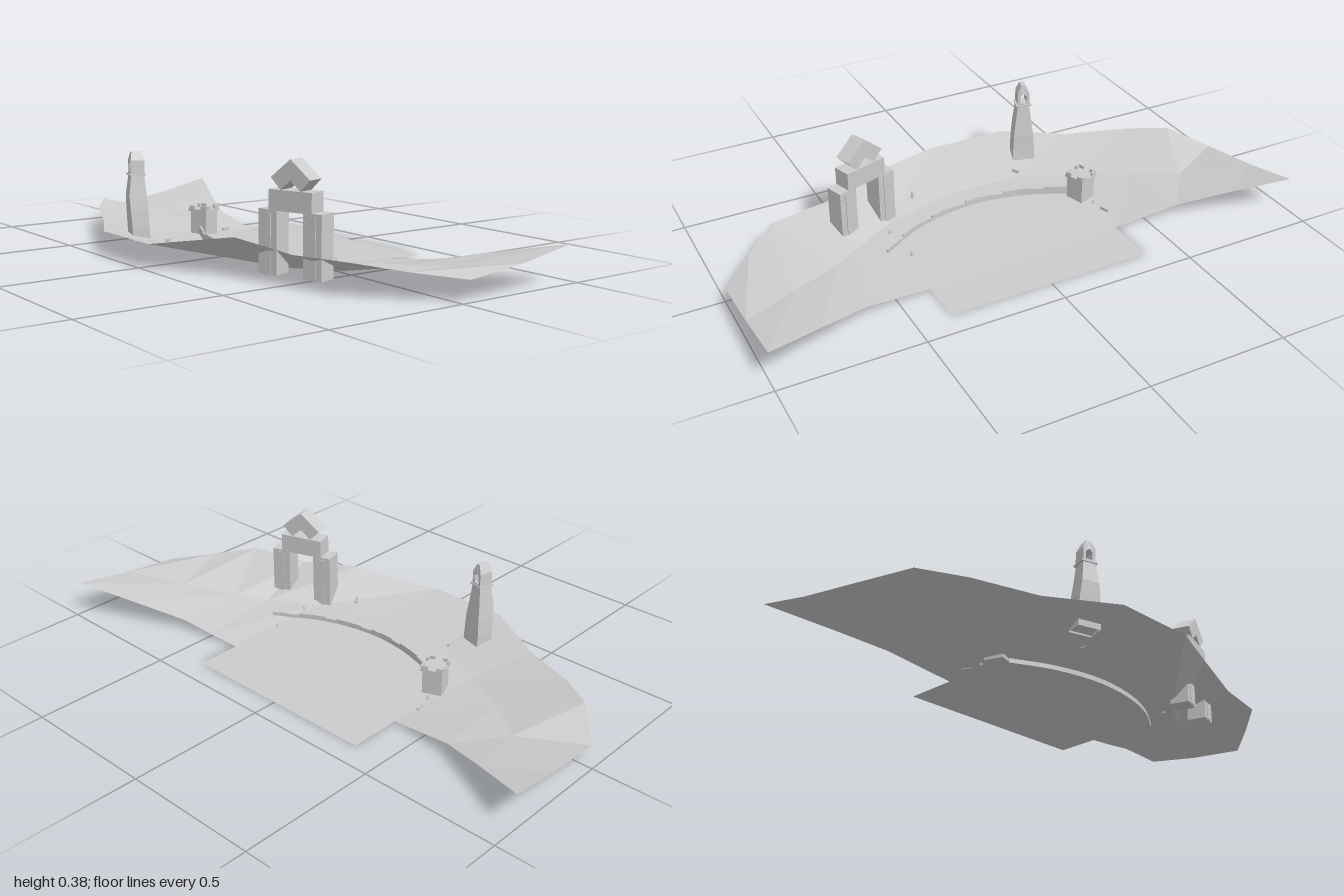
import * as THREE from 'three';

const mat = new THREE.MeshStandardMaterial({ color: 0xcccccc, flatShading: true, side: THREE.DoubleSide });

function add(parent, geo, name, x = 0, y = 0, z = 0) {
  const m = new THREE.Mesh(geo, mat);
  m.name = name;
  m.position.set(x, y, z);
  parent.add(m);
  return m;
}
const box = (parent, name, w, h, d, x, y, z) => add(parent, new THREE.BoxGeometry(w, h, d), name, x, y, z);

function subgroup(parent, name, x, y, z, ry) {
  const g = new THREE.Group();
  g.name = name;
  g.position.set(x, y, z);
  g.rotation.y = ry;
  parent.add(g);
  return g;
}

// Skin a list of equally long point rows; closed joins the last column to the first
function loft(rows, closed = false) {
  const n = rows[0].length, idx = [];
  for (let r = 0; r < rows.length - 1; r++)
    for (let c = 0; c < (closed ? n : n - 1); c++) {
      const a = r * n + c, b = r * n + (c + 1) % n;
      idx.push(a, b, a + n, b, b + n, a + n);
    }
  const geo = new THREE.BufferGeometry();
  geo.setAttribute('position', new THREE.Float32BufferAttribute(rows.flat(2), 3));
  geo.setIndex(idx);
  geo.computeVertexNormals();
  return geo;
}

// Extrude a [u, y] outline along x, centred, with u running along z
function extrudeX(outline, width, hole) {
  const toPts = l => l.map(p => new THREE.Vector2(...p));
  const shape = new THREE.Shape(toPts(outline));
  if (hole) shape.holes.push(new THREE.Path(toPts(hole)));
  return new THREE.ExtrudeGeometry(shape, { depth: width, bevelEnabled: false })
    .translate(0, 0, -width / 2).rotateY(-Math.PI / 2);
}

function terrain(root) {
  // Cross-sections from front to back: outer rim, foot of the slope, inner edge
  const rows = [
    [[0.03, 0.07, 1], [0.25, 0.093, 1], [0.475, 0.13, 1]],
    [[-0.1, 0.088, 0.88], [0.13, 0.065, 0.8], [0.38, 0.085, 0.8]],
    [[-0.22, 0.11, 0.76], [0.03, 0.04, 0.62], [0.29, 0.04, 0.61]],
    [[-0.27, 0.105, 0.54], [-0.05, 0.025, 0.52], [0.27, 0.02, 0.49]],
    [[-0.335, 0.135, 0.32], [-0.15, 0.02, 0.36], [0.255, 0.006, 0.375]],
    [[-0.48, 0.085, 0.03], [-0.23, 0.025, 0.08], [0.25, 0.005, 0.1]],
    [[-0.48, 0.085, -0.275], [-0.23, 0.025, -0.2], [0.24, 0.005, -0.15]],
    [[-0.35, 0.075, -0.51], [-0.14, 0.025, -0.42], [0.225, 0.006, -0.375]],
    [[-0.26, 0.09, -0.72], [-0.03, 0.04, -0.6], [0.25, 0.045, -0.62]],
    [[-0.165, 0.105, -0.855], [0.08, 0.05, -0.75], [0.32, 0.085, -0.8]],
    [[-0.04, 0.055, -0.97], [0.2, 0.09, -0.985], [0.405, 0.13, -1]],
  ];
  add(root, loft(rows), 'bayTerrain');

  const water = new THREE.Shape([[0.41, -0.375], [0.41, 0.375], [0.02, 0.375], [-0.06, 0.25],
    [-0.1, 0.08], [-0.1, -0.1], [-0.06, -0.25], [0, -0.375]].map(p => new THREE.Vector2(p[0], -p[1])));
  add(root, new THREE.ShapeGeometry(water).rotateX(-Math.PI / 2), 'waterPlane', 0, 0.002, 0);
}

function archGate(root) {
  const g = subgroup(root, 'archGate', -0.178, 0, 0.436, 0.31);
  for (const s of [-1, 1]) {
    box(g, 'archLeg', 0.068, 0.212, 0.07, 0, 0.116, s * 0.086);
    box(g, 'legPilaster', 0.074, 0.2, 0.026, 0, 0.112, s * 0.086);
  }
  box(g, 'archBeam', 0.066, 0.068, 0.165, 0, 0.253, 0);
  // Chevron crown resting on the beam
  const chevron = [[0.038, 0.287], [0.075, 0.325], [0, 0.387], [-0.075, 0.325], [-0.038, 0.287], [0, 0.32]];
  add(g, extrudeX(chevron, 0.063), 'chevronCrown');
}

function lighthouse(root) {
  const g = subgroup(root, 'lighthouse', -0.333, 0, -0.292, -0.3);
  // Swelling square shaft: [y, half width, half depth, lean]
  const rings = [[0.04, 0.031, 0.041, 0.006], [0.09, 0.031, 0.041, 0.003], [0.15, 0.032, 0.037, 0],
    [0.2, 0.031, 0.031, -0.004], [0.24, 0.027, 0.026, -0.003], [0.275, 0.024, 0.022, -0.002]];
  add(g, loft(rings.map(([y, w, d, l]) =>
    [[l - w, y, d], [l + w, y, d], [l + w, y, -d], [l - w, y, -d]]), true), 'shaft');
  box(g, 'balcony', 0.058, 0.006, 0.058, -0.002, 0.274, 0);
  // Lantern room with an opening right through it, ends pulled in towards the ridge
  const geo = extrudeX(
    [[-0.023, 0.277], [0.023, 0.277], [0.022, 0.325], [0.008, 0.354], [-0.008, 0.354], [-0.022, 0.325]], 0.05,
    [[-0.012, 0.283], [-0.012, 0.311], [0, 0.322], [0.012, 0.311], [0.012, 0.283]]);
  const p = geo.attributes.position;
  for (let i = 0; i < p.count; i++) if (p.getY(i) > 0.34) p.setX(i, p.getX(i) * 0.75);
  geo.computeVertexNormals();
  add(g, geo, 'lanternRoom', -0.002, 0, 0);
}

function keep(root) {
  const g = subgroup(root, 'castleTower', -0.005, 0, -0.36, 0.35);
  box(g, 'towerBody', 0.07, 0.098, 0.07, 0, 0.057, 0);
  box(g, 'towerLedge', 0.082, 0.009, 0.082, 0, 0.108, 0);
  // A pair of merlons on each side
  for (let i = 0; i < 4; i++) {
    const side = subgroup(g, 'battlement', 0, 0, 0, i * Math.PI / 2);
    for (const s of [-1, 1]) box(side, 'merlon', 0.022, 0.014, 0.008, s * 0.026, 0.118, 0.037);
  }
}

function harbourWall(root) {
  const curve = new THREE.CatmullRomCurve3([[-0.035, -0.34], [-0.1, -0.2], [-0.135, -0.02], [-0.12, 0.15],
    [-0.07, 0.3], [0.01, 0.425]].map(([x, z]) => new THREE.Vector3(x, 0, z)));
  const g = subgroup(root, 'harbourWall', 0, 0, 0, 0);
  const n = 16, pts = curve.getSpacedPoints(n);
  for (let i = 0; i < n; i++) {
    const a = pts[i], b = pts[i + 1];
    // Stepped blocks, lower towards the free end
    const top = 0.05 - 0.018 * i / n - (i % 3 === 2 ? 0.005 : 0);
    const m = box(g, 'wallBlock', 0.008, top - 0.004, a.distanceTo(b) + 0.003,
      (a.x + b.x) / 2, (top + 0.004) / 2, (a.z + b.z) / 2);
    m.rotation.y = Math.atan2(b.x - a.x, b.z - a.z);
  }
}

function ruins(root) {
  // Standing stones: x, z, base y, height
  for (const [x, z, y, h] of [[0.055, 0.355, 0.008, 0.022], [0.055, -0.38, 0.01, 0.018],
    [-0.235, 0.22, 0.05, 0.028], [-0.1, 0.37, 0.015, 0.018]])
    add(root, new THREE.CylinderGeometry(0.003, 0.008, h, 4), 'standingStone', x, y + h / 2, z);
  // Fallen wall pieces: x, z, y, length, turn
  for (const [x, z, y, l, t] of [[0.115, -0.393, 0.016, 0.036, 0.35], [-0.25, -0.22, 0.036, 0.026, 0.6]])
    box(root, 'wallFragment', l, 0.012, 0.008, x, y, z).rotation.y = t;
}

export function createModel() {
  const root = new THREE.Group();
  root.name = 'harbourBay';
  for (const build of [terrain, archGate, lighthouse, keep, harbourWall, ruins]) build(root);
  return root;
}
